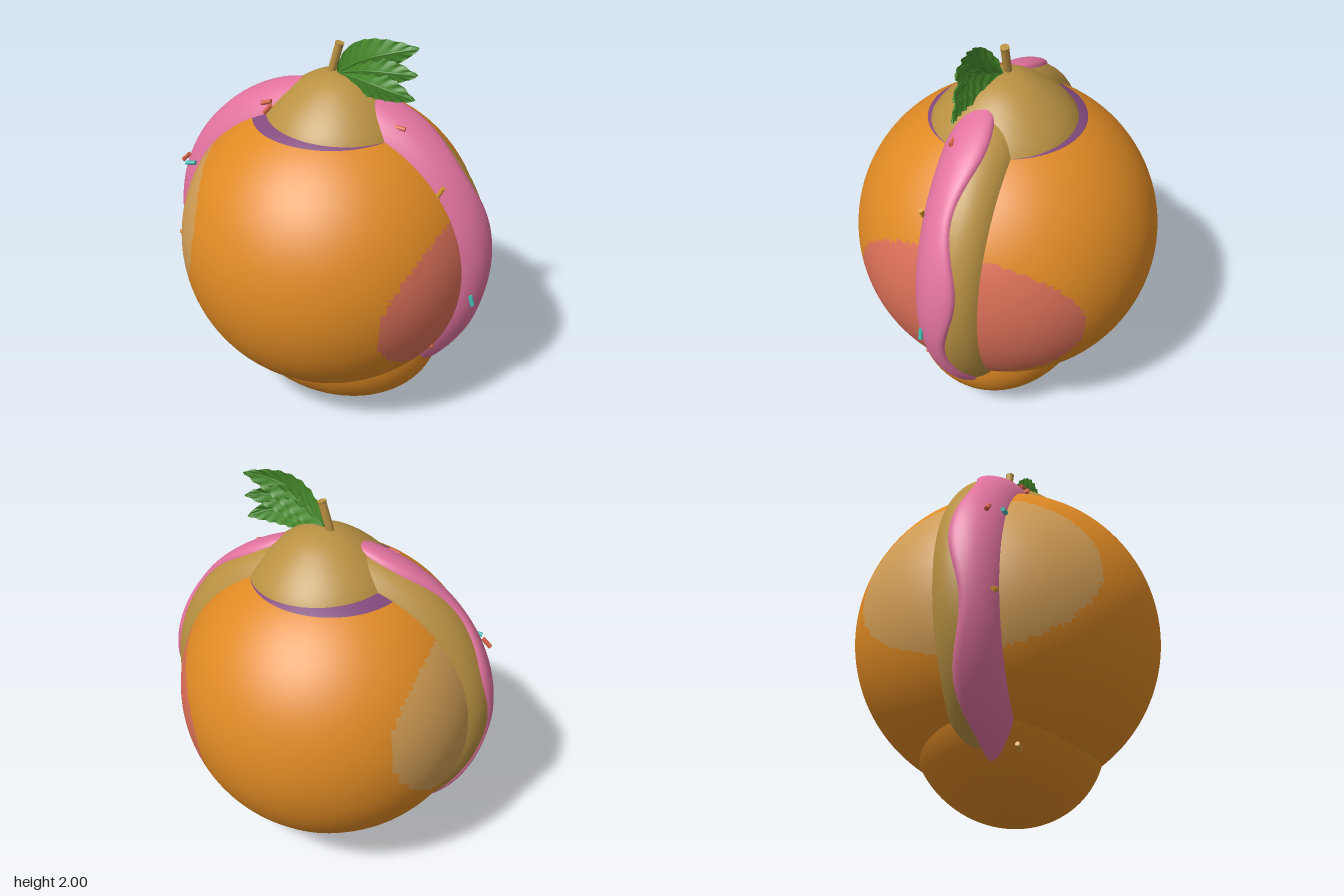
import * as THREE from 'three';
import { mergeVertices } from 'three/addons/utils/BufferGeometryUtils.js';

const mat = (name, color) => {
  const m = new THREE.MeshStandardMaterial({ color });
  m.name = name;
  return m;
};

export function createModel() {
  const group = new THREE.Group();
  const orange = mat('orange skin', 0xe08a24);
  const cream = mat('pale patch', 0xd09c54);
  const blush = mat('red blush', 0xdb7058);
  const purple = mat('purple crown', 0x834a7e);
  const gold = mat('golden brown', 0xb99142);
  const pink = mat('pink icing', 0xe2739f);
  const green = mat('leaf green', 0x478c2c);
  green.side = THREE.DoubleSide;
  const coral = mat('coral sprinkle', 0xd8644a);
  const teal = mat('teal sprinkle', 0x48bdb4);
  const amber = mat('amber sprinkle', 0xd8982f);

  const add = (name, geometry, material, x = 0, y = 0, z = 0) => {
    const mesh = new THREE.Mesh(geometry, material);
    mesh.name = name;
    mesh.position.set(x, y, z);
    group.add(mesh);
    return mesh;
  };

  // Round fruit; faces are sorted into skin, side patches and crown
  const R = 0.757, CY = 0.89;
  const body = new THREE.SphereGeometry(R, 144, 96);
  const p = body.attributes.position;
  const buckets = [[], [], [], []];
  const old = body.index.array;
  for (let i = 0; i < old.length; i += 3) {
    const tri = [old[i], old[i + 1], old[i + 2]];
    const mean = (get) => tri.reduce((s, k) => s + get(k) / 3, 0);
    const x = mean((k) => p.getX(k)), y = mean((k) => p.getY(k)) + CY, z = mean((k) => p.getZ(k));
    const inOval = (cy) => ((y - cy) / 0.415) ** 2 + (z / 0.58) ** 2 < 1;
    let b = 0;
    if (y > 1.548) b = 3;
    else if (x < 0 && inOval(0.98)) b = 1;
    else if (x > 0 && inOval(0.81)) b = 2;
    buckets[b].push(...tri);
  }
  body.setIndex(buckets.flat());
  let start = 0;
  buckets.forEach((b, i) => {
    body.addGroup(start, b.length, i);
    start += b.length;
  });
  add('fruitBody', body, [orange, cream, blush, purple], 0, CY, 0);

  // Lower bulge, slightly tilted
  const bulge = add('lowerBulge', new THREE.SphereGeometry(1, 80, 56), orange, 0.02, 0.427, 0);
  bulge.scale.set(0.57, 0.42, 0.46);
  bulge.rotation.z = -0.19;

  // Domed cap
  const capProfile = new THREE.SplineCurve([
    [0.42, -0.38], [0.375, -0.275], [0.325, -0.19], [0.25, -0.112],
    [0.16, -0.045], [0.08, -0.01], [0, 0],
  ].map(([x, y]) => new THREE.Vector2(x, y))).getPoints(36);
  capProfile[36].x = 0;
  const cap = add('topCap', new THREE.LatheGeometry(capProfile, 72), gold, 0.055, 1.782, 0);
  cap.rotation.z = -0.07;

  // Dough ring around the fruit
  const RING = 0.645, RY = 0.905;
  add('doughRing', new THREE.TorusGeometry(RING, 0.172, 32, 128), gold, 0, RY, 0);

  // Icing: a shell over the front of the ring with a wavy, rounded rear edge
  const icing = new THREE.TorusGeometry(RING, 0.19, 40, 160);
  const ip = icing.attributes.position, uv = icing.attributes.uv;
  for (let i = 0; i < ip.count; i++) {
    const u = uv.getX(i) * Math.PI * 2, t = uv.getY(i);
    const edge = Math.asin((-0.034 - 0.035 * Math.cos(7 * (u - 0.175))) / 0.19);
    const phi = THREE.MathUtils.lerp(edge, 1.95, t);
    const k = Math.min(1, t / 0.12);
    const r = 0.166 + 0.024 * Math.sqrt(1 - (1 - k) ** 2);
    const d = RING + r * Math.cos(phi);
    ip.setXYZ(i, d * Math.cos(u), d * Math.sin(u), r * Math.sin(phi));
  }
  icing.deleteAttribute('uv');
  icing.deleteAttribute('normal');
  const icingShell = mergeVertices(icing, 1e-5);
  icingShell.computeVertexNormals();
  add('icing', icingShell, pink, 0, RY, 0);

  // Sprinkles: x, y, z, angle, material
  const sprinkle = new THREE.CylinderGeometry(0.011, 0.011, 0.055, 10).rotateZ(Math.PI / 2);
  [
    [-0.27, 1.63, 0.15, 0.35, coral], [-0.255, 1.605, 0.17, 0.9, coral],
    [-0.755, 1.23, 0.115, 0.8, coral], [-0.695, 1.235, 0.175, 0.2, teal],
    [-0.775, 0.805, 0.155, 0.35, amber], [-0.42, 0.21, 0.165, -0.25, amber],
    [0.612, 1.345, 0.17, 1.1, amber], [0.785, 0.77, 0.128, 1.85, teal],
    [0.385, 1.6, 0.112, -0.1, coral], [0.6, 0.475, 0.18, 0.5, coral],
  ].forEach(([x, y, z, a, m]) => {
    add('sprinkle', sprinkle, m, x, y, z).rotation.z = a;
  });

  // Stem
  const stemPath = new THREE.CatmullRomCurve3([
    new THREE.Vector3(-0.015, 1.72, 0), new THREE.Vector3(0.005, 1.79, 0), new THREE.Vector3(0.04, 1.915, 0),
  ]);
  add('stem', new THREE.TubeGeometry(stemPath, 12, 0.02, 14), gold);
  const tip = add('stemTip', new THREE.CylinderGeometry(0.022, 0.02, 0.012, 14), gold, 0.04, 1.915, 0);
  tip.rotation.z = -0.27;

  // Leaves: curved blades folded along the midrib, rippled by side veins
  const leaf = (angle, length, width, lift) => {
    const g = new THREE.PlaneGeometry(1, 2, 40, 12);
    const lp = g.attributes.position;
    for (let i = 0; i < lp.count; i++) {
      const t = lp.getX(i) + 0.5, s = lp.getY(i);
      const half = width * Math.sin(Math.PI * Math.pow(t, 0.8)) ** 0.75;
      const vein = 0.007 * Math.sin((t * 8 - Math.abs(s) * 1.2) * Math.PI * 2) * Math.abs(s);
      const x = t * length, y = s * (half || 0) + 0.035 * Math.sin(Math.PI * t);
      const z = 0.085 * Math.sin(Math.PI * t * 0.8) + lift * t - 0.022 * Math.abs(s) * Math.sin(Math.PI * t) + vein;
      lp.setXYZ(i, x, y, z);
    }
    g.computeVertexNormals();
    add('leaf', g, green, 0.035, 1.775, 0.012).rotation.z = angle;
    // Raised midrib
    const rib = new THREE.CatmullRomCurve3([0, 0.25, 0.5, 0.75, 0.97].map((t) => new THREE.Vector3(
      t * length, 0.035 * Math.sin(Math.PI * t), 0.085 * Math.sin(Math.PI * t * 0.8) + lift * t)));
    add('leafRib', new THREE.TubeGeometry(rib, 16, 0.005, 6), green, 0.035, 1.775, 0.012).rotation.z = angle;
  };
  leaf(0.45, 0.455, 0.085, 0.0);
  leaf(0.18, 0.42, 0.08, 0.012);
  leaf(-0.1, 0.41, 0.08, 0.024);

  return group;
}
